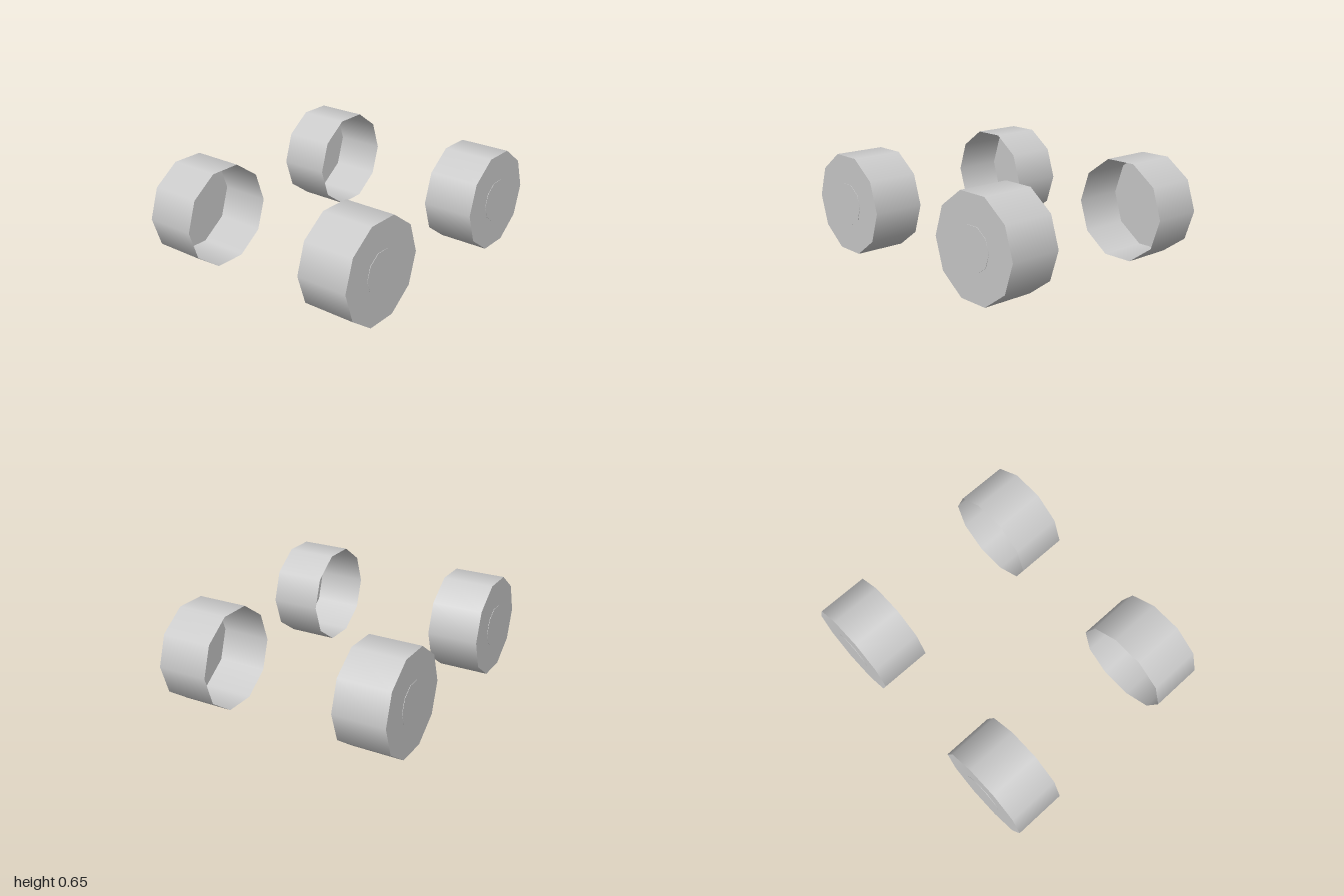
import * as THREE from 'three';

const RADIUS = 0.344, WIDTH = 0.35, SIDES = 10;
const OUTER_X = 0.8, AXLE_Y = 0.327, AXLE_Z = 0.656;

export function createModel() {
  const model = new THREE.Group();
  model.name = 'wheelSet';
  const grey = new THREE.MeshStandardMaterial({ color: 0xcccccc, side: THREE.DoubleSide });
  grey.name = 'light grey';

  // Open tread band, smooth around its ten sides, with its axis along x
  const treadGeo = new THREE.CylinderGeometry(RADIUS, RADIUS, WIDTH, SIDES, 1, true).rotateZ(-Math.PI / 2);
  // Flat outer face, with a corner on the z axis like the tread
  const capGeo = new THREE.CircleGeometry(RADIUS, SIDES).rotateY(Math.PI / 2);
  // Thin hub plate in the middle of the outer face
  const hubGeo = new THREE.CylinderGeometry(0.145, 0.145, 0.003, SIDES).rotateZ(-Math.PI / 2);

  const add = (parent, name, geometry, x) => {
    const mesh = new THREE.Mesh(geometry, grey);
    mesh.name = name;
    mesh.position.x = x;
    parent.add(mesh);
  };

  // Four wheels, closed on the outside and open towards the middle
  for (const side of [1, -1]) {
    for (const end of [1, -1]) {
      const wheel = new THREE.Group();
      wheel.name = (end > 0 ? 'front' : 'back') + (side > 0 ? 'Left' : 'Right') + 'Wheel';
      add(wheel, 'tread', treadGeo, 0);
      add(wheel, 'outerFace', capGeo, WIDTH / 2);
      add(wheel, 'hub', hubGeo, WIDTH / 2 + 0.001);
      wheel.position.set(side * (OUTER_X - WIDTH / 2), AXLE_Y, end * AXLE_Z);
      if (side < 0) wheel.rotation.y = Math.PI;
      model.add(wheel);
    }
  }
  return model;
}
